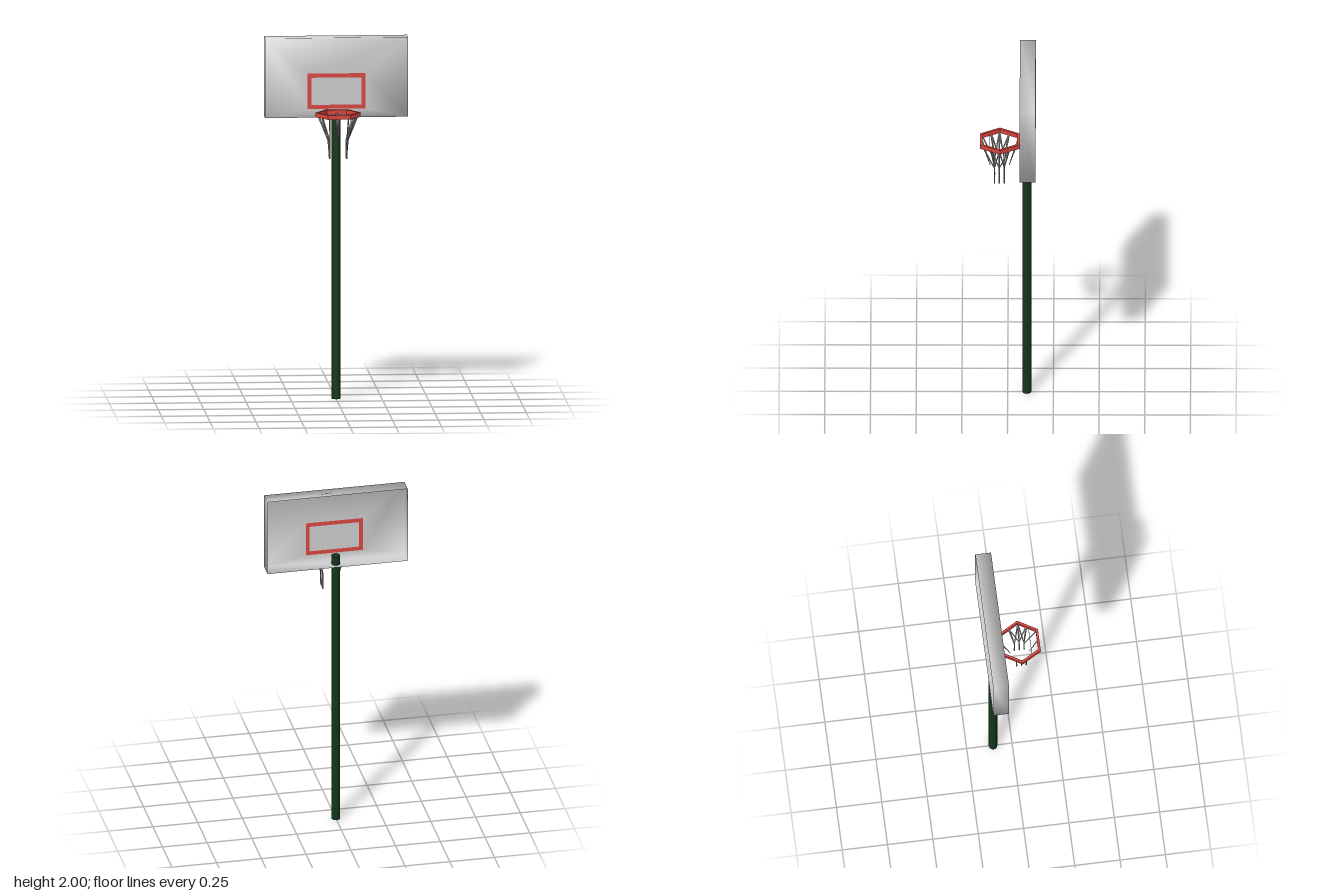
import * as THREE from 'three';

const mat = (color, extra = {}) => new THREE.MeshStandardMaterial({ color, ...extra });
const RIM_Z = 0.043, RIM_Y = 1.578, RIM_H = 0.025;

function add(parent, name, geometry, material) {
  const mesh = new THREE.Mesh(geometry, material);
  mesh.name = name;
  parent.add(mesh);
  return mesh;
}

// Skin between successive rectangles [halfWidth, bottom, top, z], with shared smooth vertices
function rectLoft(rects, capped) {
  const pos = [], index = [];
  for (const [w, b, t, z] of rects) pos.push(-w, b, z, w, b, z, w, t, z, -w, t, z);
  for (let r = 0; r < rects.length - 1; r++) {
    for (let i = 0; i < 4; i++) {
      const a = r * 4 + i, b = r * 4 + (i + 1) % 4;
      index.push(a, b, b + 4, a, b + 4, a + 4);
    }
  }
  if (capped) {
    const k = (rects.length - 1) * 4;
    index.push(k, k + 1, k + 2, k, k + 2, k + 3);
  }
  const g = new THREE.BufferGeometry();
  g.setAttribute('position', new THREE.Float32BufferAttribute(pos, 3));
  g.setIndex(index);
  g.computeVertexNormals();
  return g;
}

function hexagon(path, radius) {
  for (let i = 0; i < 6; i++) {
    const a = i * Math.PI / 3;
    path[i ? 'lineTo' : 'moveTo'](radius * Math.cos(a), radius * Math.sin(a));
  }
  path.closePath();
  return path;
}

// Tapered cord between two points
function cord(parent, name, from, to, r0, r1, material) {
  const a = new THREE.Vector3(...from), b = new THREE.Vector3(...to);
  const dir = a.clone().sub(b);
  const mesh = add(parent, name, new THREE.CylinderGeometry(r0, r1, dir.length(), 4), material);
  mesh.position.copy(a).add(b).multiplyScalar(0.5);
  mesh.quaternion.setFromUnitVectors(new THREE.Vector3(0, 1, 0), dir.normalize());
}

export function createModel() {
  const model = new THREE.Group();
  const grey = mat(0xcccccc, { side: THREE.DoubleSide });
  const red = mat(0xd8453f, { side: THREE.DoubleSide });
  const netGrey = mat(0xaaaaaa, { flatShading: true });

  // Pole, its top tucked inside the open-backed board
  const pole = add(model, 'pole', new THREE.CylinderGeometry(0.024, 0.024, 1.61, 12), mat(0x14351a));
  pole.position.set(0, 0.805, -0.105);

  // Backboard: open-backed shell, painted target frame and its inner panel
  const Z = -0.066;
  const outer = [0.159, 1.608, 1.803, Z], inner = [0.138, 1.63, 1.78, Z];
  const board = new THREE.Group();
  board.name = 'backboard';
  model.add(board);
  add(board, 'boardShell', rectLoft([[0.392, 1.56, 2, -0.153], [0.392, 1.56, 2, Z], outer]), grey);
  add(board, 'targetFrame', rectLoft([outer, inner]), red);
  add(board, 'targetPanel', rectLoft([inner], true), grey);

  // Six-sided rim
  const ring = hexagon(new THREE.Shape(), 0.124);
  ring.holes.push(hexagon(new THREE.Path(), 0.109));
  const rimGeo = new THREE.ExtrudeGeometry(ring, { depth: RIM_H, bevelEnabled: false });
  rimGeo.rotateX(-Math.PI / 2);
  add(model, 'rim', rimGeo, red).position.set(0, RIM_Y, RIM_Z);

  // Net
  const net = new THREE.Group();
  net.name = 'net';
  model.add(net);
  const top = RIM_Y + 0.01, knotY = 1.45, footY = 1.35;
  for (const s of [-1, 1]) {
    const tops = [[0.088, -0.008], [0.108, 0.045], [0.092, 0.09]];
    const knots = [[0.047, 0.019], [0.055, 0.046], [0.047, 0.072]];
    const topAt = i => [s * tops[i][0], top, tops[i][1]];
    const knotAt = i => [s * knots[i][0], knotY, knots[i][1]];
    for (let i = 0; i < 3; i++) {
      cord(net, 'netCord', topAt(i), knotAt(i), 0.006, 0.003, netGrey);
      cord(net, 'netTail', knotAt(i), [s * 0.046, footY, knots[i][1]], 0.003, 0.004, netGrey);
    }
    // Crossing cords
    for (const [i, j] of [[0, 1], [1, 0], [1, 2], [2, 1]]) {
      cord(net, 'netCrossCord', topAt(i), knotAt(j), 0.004, 0.003, netGrey);
    }
    cord(net, 'netCornerCord', [s * 0.052, top, 0.138], [s * 0.046, knotY, 0.075], 0.004, 0.003, netGrey);
  }
  // Front and back middle cords, and the thin tie across the front
  cord(net, 'frontCord', [0, top, 0.14], [0, 1.44, 0.096], 0.006, 0.002, netGrey);
  cord(net, 'backCord', [0, top, -0.055], [0, 1.44, -0.008], 0.006, 0.002, netGrey);
  cord(net, 'frontTie', [-0.08, top, 0.1], [0.08, top, 0.1], 0.0015, 0.0015, netGrey);
  return model;
}
